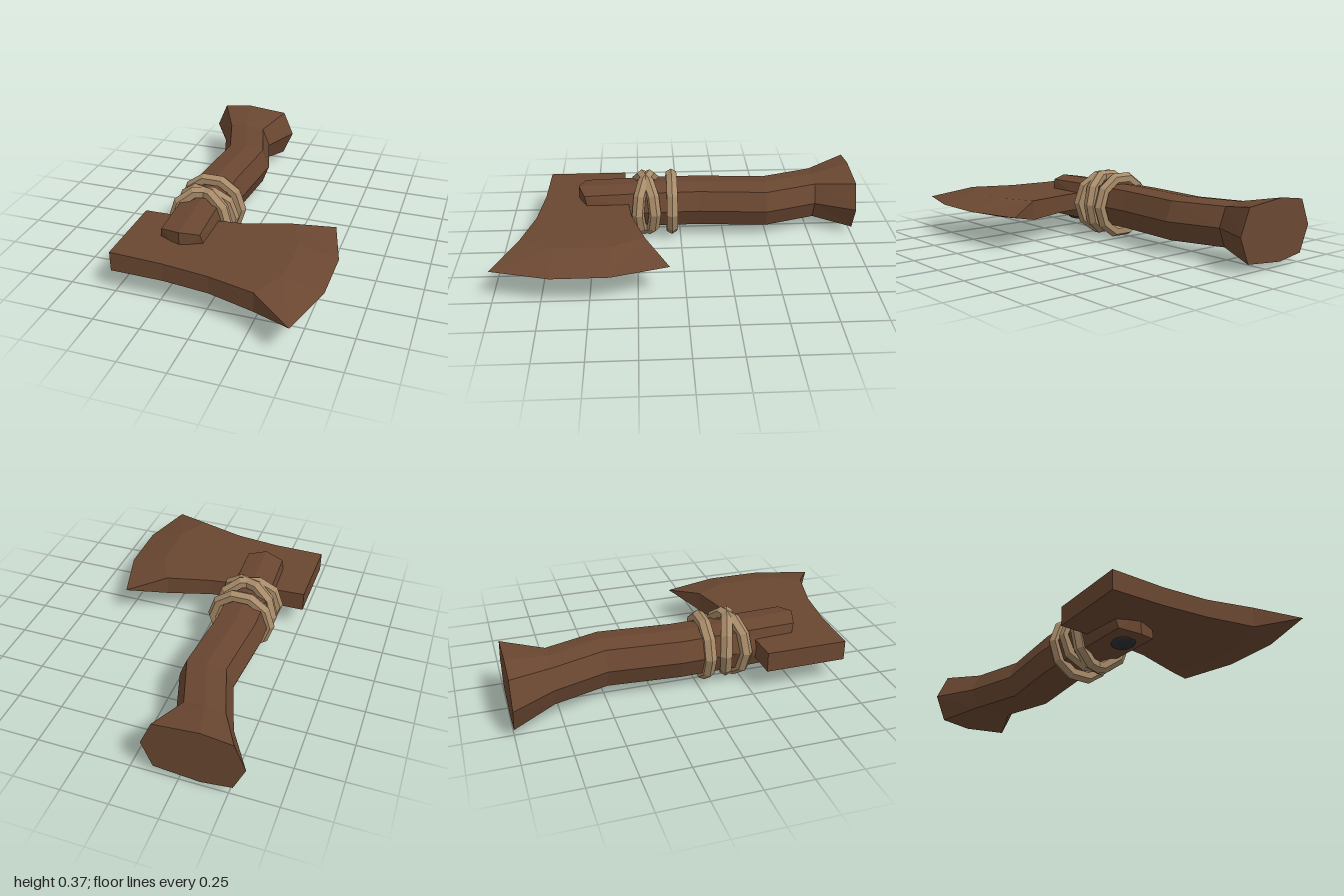
import * as THREE from 'three';

const MID = 0.19; // height of the symmetry plane

// Skin closed rings of points; each ring turns counter-clockwise seen from the last ring's end.
function loft(rings, endCentre) {
  const n = rings[0].length;
  const points = rings.flat();
  const index = [];
  for (let r = 0; r < rings.length - 1; r++) {
    for (let i = 0; i < n; i++) {
      const a = r * n + i, b = r * n + (i + 1) % n;
      index.push(a, b, b + n, a, b + n, a + n);
    }
  }
  const average = (ring) => [0, 1, 2].map((k) => ring.reduce((s, p) => s + p[k], 0) / n);
  const start = points.push(average(rings[0])) - 1;
  for (let i = 0; i < n; i++) index.push(start, (i + 1) % n, i);
  if (endCentre) {
    const end = points.push(endCentre) - 1, base = (rings.length - 1) * n;
    for (let i = 0; i < n; i++) index.push(end, base + i, base + (i + 1) % n);
  }
  const geometry = new THREE.BufferGeometry();
  geometry.setAttribute('position', new THREE.Float32BufferAttribute(points.flat(), 3));
  geometry.setIndex(index);
  const flat = geometry.toNonIndexed();
  flat.computeVertexNormals();
  return flat;
}

export function createModel() {
  const group = new THREE.Group();
  const material = (name, color) => {
    const m = new THREE.MeshStandardMaterial({ color });
    m.name = name;
    return m;
  };
  const wood = material('brown wood', 0x6a4731);
  const rope = material('tan rope', 0xa88b69);
  const dark = material('dark stud', 0x2b2e33);
  const add = (name, geometry, mat) => {
    const mesh = new THREE.Mesh(geometry, mat);
    mesh.name = name;
    group.add(mesh);
    return mesh;
  };

  // Handle: eight-sided sections [z, left, right, corner inset, corner height, peak height, peak x, bow]
  const handleRings = [
    [-1.0, -0.58, -0.06, 0.06, 0.14, 0.162, -0.36, 0],
    [-0.78, -0.45, -0.155, 0.042, 0.105, 0.12, -0.305, 0],
    [-0.49, -0.355, -0.065, 0.04, 0.105, 0.12, -0.21, 0],
    [-0.1, -0.385, -0.095, 0.04, 0.105, 0.12, -0.24, 0],
    [0.2, -0.375, -0.09, 0.038, 0.105, 0.12, -0.23, 0],
    [0.52, -0.34, -0.09, 0.02, 0.103, 0.12, -0.21, 0.06],
  ].map(([z, l, r, inset, ch, ph, px, bow]) => [
    [r, MID, z],
    [r - inset, MID + ch, z + bow * 0.4],
    [px, MID + ph, z + bow],
    [l + inset, MID + ch, z + bow * 0.4],
    [l, MID, z],
    [l + inset, MID - ch, z + bow * 0.4],
    [px, MID - ph, z + bow],
    [r - inset, MID - ch, z + bow * 0.4],
  ]);
  add('handle', loft(handleRings, [-0.21, MID, 0.58]), wood);

  // Axe head: sections from poll to cutting edge [outer x, inner x, back z, front z, half thickness]
  const bladeRings = [
    [-0.51, -0.51, 0.32, 0.76, 0.054],
    [-0.22, -0.22, 0.31, 0.77, 0.05],
    [0.03, 0.03, 0.28, 0.8, 0.049],
    [0.28, 0.37, 0.21, 0.865, 0.054],
    [0.49, 0.575, 0.085, 1.0, 0],
  ].map(([xo, xi, zb, zf, h]) => {
    const row = [[xo, zb], [xi, 0.39], [xi, 0.69], [xo, zf]];
    return [
      ...row.map(([x, z]) => [x, MID + h, z]),
      ...row.slice().reverse().map(([x, z]) => [x, MID - h, z]),
    ];
  });
  add('axeHead', loft(bladeRings), wood);

  // Rope lashing: one straight loop and two crossed loops
  const loop = new THREE.TorusGeometry(0.158, 0.035, 6, 10).toNonIndexed();
  loop.computeVertexNormals();
  [
    ['straightRopeLoop', 0.05, 0],
    ['crossedRopeLoopA', 0.2, 0.33],
    ['crossedRopeLoopB', 0.193, -0.33],
  ].forEach(([name, z, turn]) => {
    const mesh = add(name, loop, rope);
    mesh.position.set(-0.223, MID, z);
    mesh.rotation.y = turn;
  });

  // Rounded stud set into the underside of the handle
  const stud = add('stud', new THREE.SphereGeometry(1, 12, 8), dark);
  stud.scale.set(0.06, 0.026, 0.07);
  stud.position.set(-0.22, 0.075, 0.445);

  return group;
}
